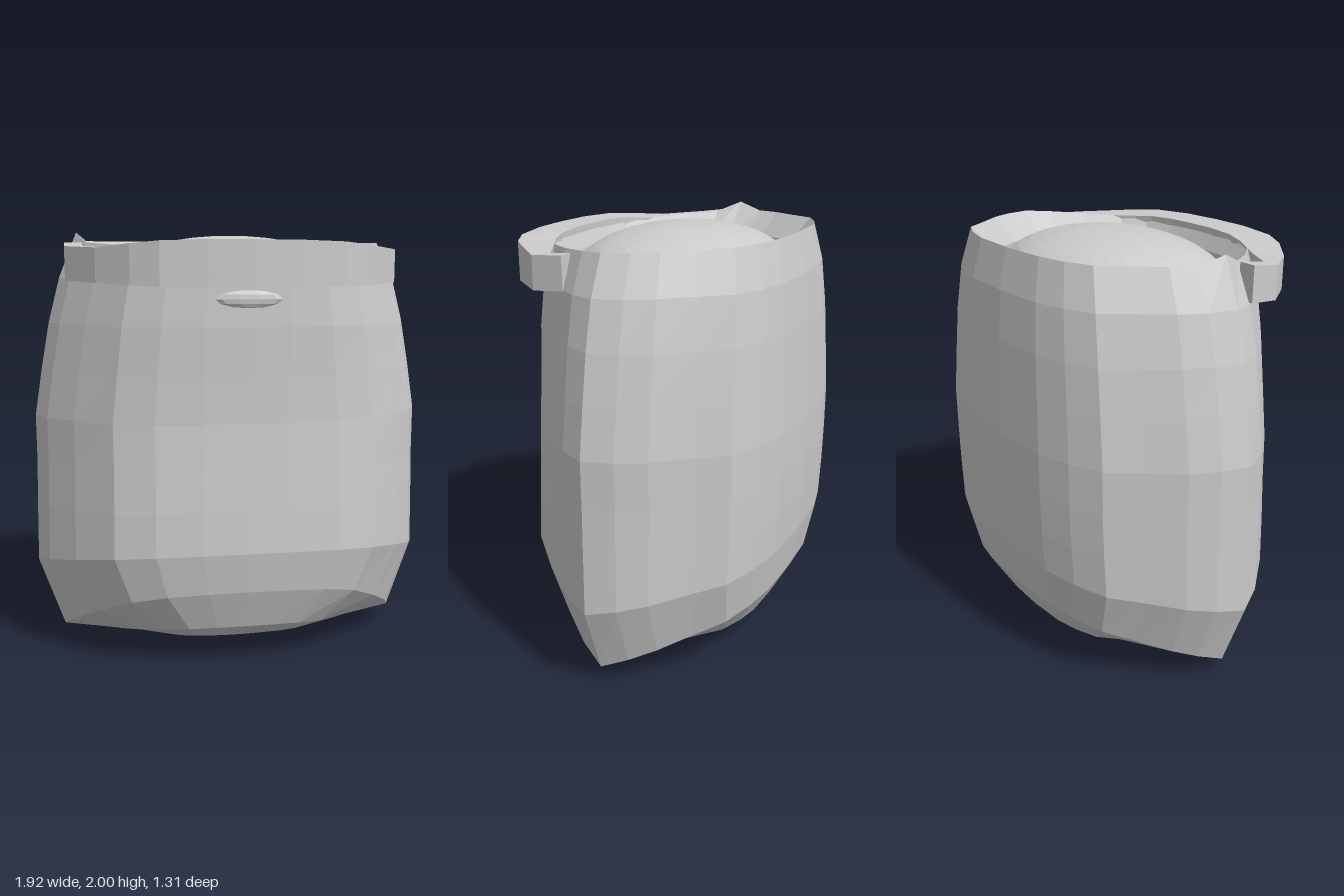
import * as THREE from 'three';

const grey = new THREE.MeshStandardMaterial({ color: 0xcccccc, flatShading: true, side: THREE.DoubleSide });

// Skin a list of closed loops (arrays of [x, y, z]); caps fan over both end loops
function loft(loops, caps = false) {
  const n = loops[0].length, index = [];
  for (let i = 0; i < loops.length - 1; i++) {
    for (let j = 0; j < n; j++) {
      const k = (j + 1) % n;
      const a = i * n + j, b = i * n + k, c = b + n, d = a + n;
      if (i > 0 || caps) index.push(a, b, c);
      index.push(a, c, d);
    }
  }
  if (caps) {
    const e = (loops.length - 1) * n;
    for (let j = 1; j < n - 1; j++) {
      index.push(0, j + 1, j);
      index.push(e, e + j, e + j + 1);
    }
  }
  const g = new THREE.BufferGeometry();
  g.setAttribute('position', new THREE.Float32BufferAttribute(loops.flat(2), 3));
  g.setIndex(index);
  g.computeVertexNormals();
  return g;
}

function part(name, geometry) {
  const mesh = new THREE.Mesh(geometry, grey);
  mesh.name = name;
  return mesh;
}

// Half of the body's plan outline, front to back, scaled to unit width and depth
const half = [
  [0, 1], [0.22, 0.99], [0.44, 0.95], [0.63, 0.83], [0.81, 0.52], [0.94, 0.23], [1, 0],
  [0.96, -0.21], [0.89, -0.4], [0.76, -0.62], [0.65, -0.82], [0.49, -0.92], [0.31, -0.98], [0, -1],
];
const outline = [...half, ...half.slice(1, -1).reverse().map(([x, z]) => [-x, z])];

// Each row: half width, front depth, back depth, then height at side, front and back
const bodyRows = [
  [0, 0, 0, 0, 0, 0],
  [0.3, 0.15, 0.18, 0.015, 0.02, 0.015],
  [0.45, 0.29, 0.34, 0.025, 0.08, 0.05],
  [0.6, 0.45, 0.5, 0.04, 0.18, 0.15],
  [0.84, 0.52, 0.6, 0.08, 0.37, 0.33],
  [0.96, 0.55, 0.64, 0.42, 0.56, 0.55],
  [0.955, 0.54, 0.65, 0.7, 0.75, 0.74],
  [0.95, 0.525, 0.655, 0.92, 0.94, 0.93],
  [0.95, 0.51, 0.655, 1.14, 1.15, 1.14],
  [0.915, 0.51, 0.645, 1.36, 1.36, 1.36],
  [0.875, 0.515, 0.635, 1.58, 1.58, 1.58],
  [0.82, 0.51, 0.615, 1.79, 1.77, 1.8],
  [0.735, 0.49, 0.575, 1.96, 1.92, 1.98],
  [0.6, 0.455, 0.495, 1.85, 1.85, 1.88],
  [0.57, 0.44, 0.47, 1.7, 1.7, 1.7],
];

function bodyGeometry() {
  return loft(bodyRows.map(([w, front, back, ySide, yFront, yBack], row) =>
    outline.map(([x, z]) => {
      const yEnd = z > 0 ? yFront : yBack;
      let y = ySide + (yEnd - ySide) * Math.abs(z);
      if (row === 12 && x < -0.99) y += 0.04; // small peak on the right of the rim
      return [x * w, y, z * (z > 0 ? front : back)];
    })));
}

// Collar stations: outer x, z, inner x, z, bottom, top
const collarPath = [
  [-0.79, 0.11, -0.71, 0.11, 1.79, 1.95],
  [-0.79, 0.25, -0.71, 0.25, 1.78, 1.93],
  [-0.66, 0.43, -0.55, 0.35, 1.77, 1.92],
  [-0.52, 0.55, -0.38, 0.44, 1.76, 1.935],
  [-0.4, 0.61, -0.28, 0.47, 1.755, 1.945],
  [-0.2, 0.645, -0.14, 0.485, 1.755, 1.95],
  [0, 0.655, 0, 0.49, 1.755, 1.95],
  [0.2, 0.645, 0.14, 0.485, 1.755, 1.95],
  [0.4, 0.61, 0.28, 0.47, 1.755, 1.945],
  [0.52, 0.55, 0.38, 0.44, 1.76, 1.935],
  [0.71, 0.35, 0.64, 0.3, 1.77, 1.92],
  [0.715, 0.2, 0.645, 0.2, 1.78, 1.93],
];

export function createModel() {
  const group = new THREE.Group();
  group.name = 'barrelPouch';

  // Bulging body with its folded-in rim
  group.add(part('body', bodyGeometry()));

  // Band wrapped around the front of the opening
  group.add(part('collar', loft(collarPath.map(([ox, oz, ix, iz, lo, hi]) =>
    [[ox, hi, oz], [ox, lo, oz], [ix, lo, iz], [ix, hi, iz]]), true)));

  // Domed filling inside the opening
  const dome = part('dome', new THREE.SphereGeometry(1, 32, 10, 0, Math.PI * 2, 0, Math.PI / 2));
  dome.scale.set(0.6, 0.21, 0.48);
  dome.position.set(0, 1.78, -0.02);
  group.add(dome);

  // Slight bump below the collar
  const bump = part('bump', new THREE.SphereGeometry(1, 10, 6));
  bump.scale.set(0.15, 0.04, 0.02);
  bump.position.set(0, 1.7, 0.508);
  group.add(bump);

  return group;
}
